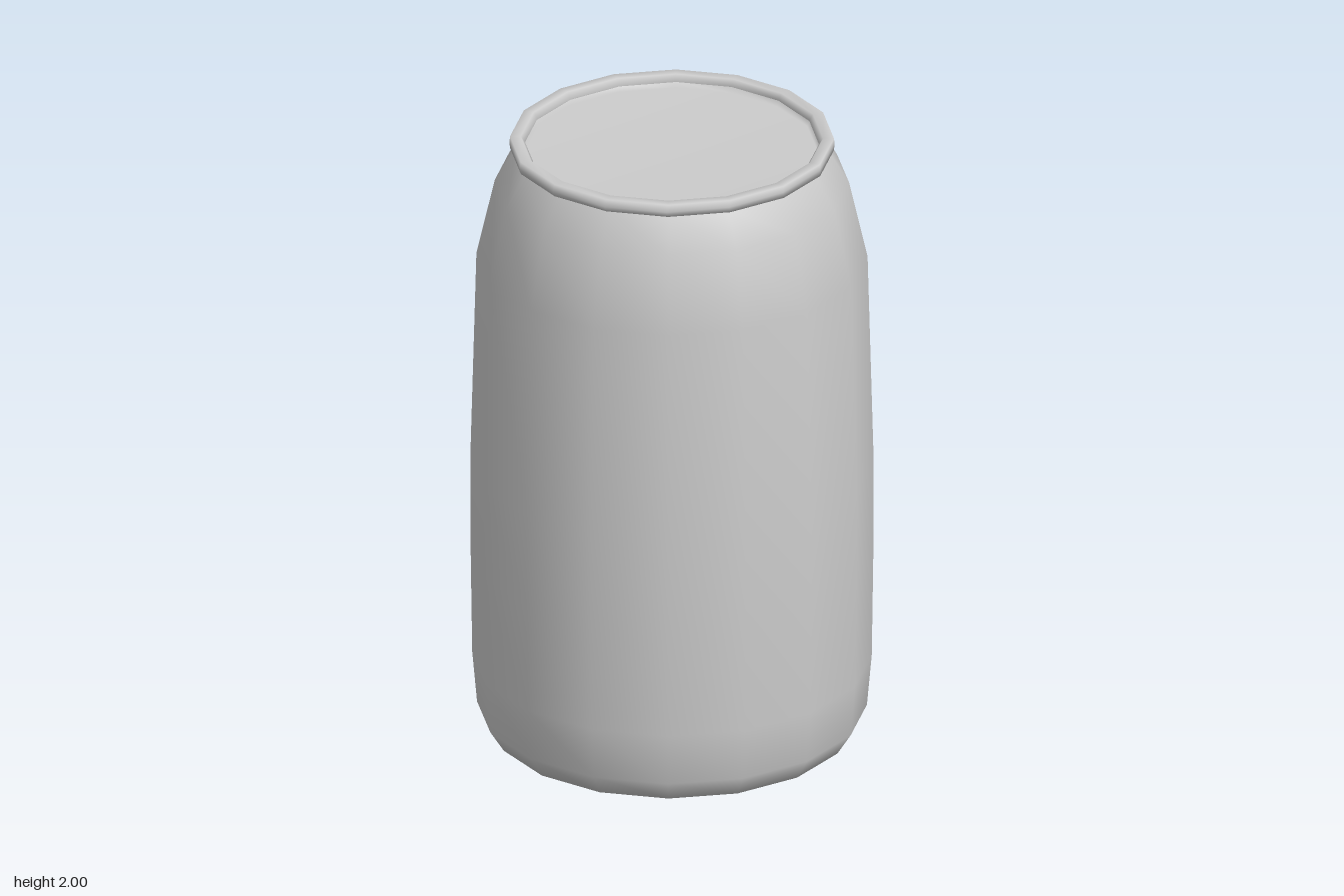
import * as THREE from 'three';

const SIDES = 16;

export function createModel() {
  const group = new THREE.Group();
  const material = new THREE.MeshStandardMaterial({ color: 0xcccccc });

  // Turns a [radius, height] profile into a smooth 16-sided mesh
  const lathe = (name, profile) => {
    const points = profile.map(([r, y]) => new THREE.Vector2(r, y));
    const mesh = new THREE.Mesh(new THREE.LatheGeometry(points, SIDES), material);
    mesh.name = name;
    group.add(mesh);
    return mesh;
  };

  // Barrel-shaped body with closed base and tapered shoulder
  lathe('body', [
    [0, 0], [0.56, 0], [0.605, 0.07], [0.62, 0.24], [0.625, 0.6],
    [0.626, 0.9], [0.607, 1.6], [0.55, 1.85], [0.485, 1.96], [0.475, 1.97],
  ]);

  // Rolled rim with a hexagonal section
  const rim = lathe('rim', [
    [0.473, 1.96], [0.507, 1.96], [0.52, 1.98], [0.507, 2],
    [0.473, 2], [0.46, 1.98], [0.473, 1.96],
  ]);
  // The outer ridge of the rim is slightly narrower from side to side
  const pos = rim.geometry.attributes.position;
  for (let i = 0; i < pos.count; i++) {
    const r = Math.hypot(pos.getX(i), pos.getZ(i));
    const squeeze = r > 0.51 ? 0.965 : 0.99;
    pos.setX(i, pos.getX(i) * squeeze);
  }

  // Lid set just inside the rim
  lathe('lid', [[0.462, 1.98], [0.45, 1.963], [0, 1.963]]
    .map(([r, y]) => [r, y]));

  return group;
}
